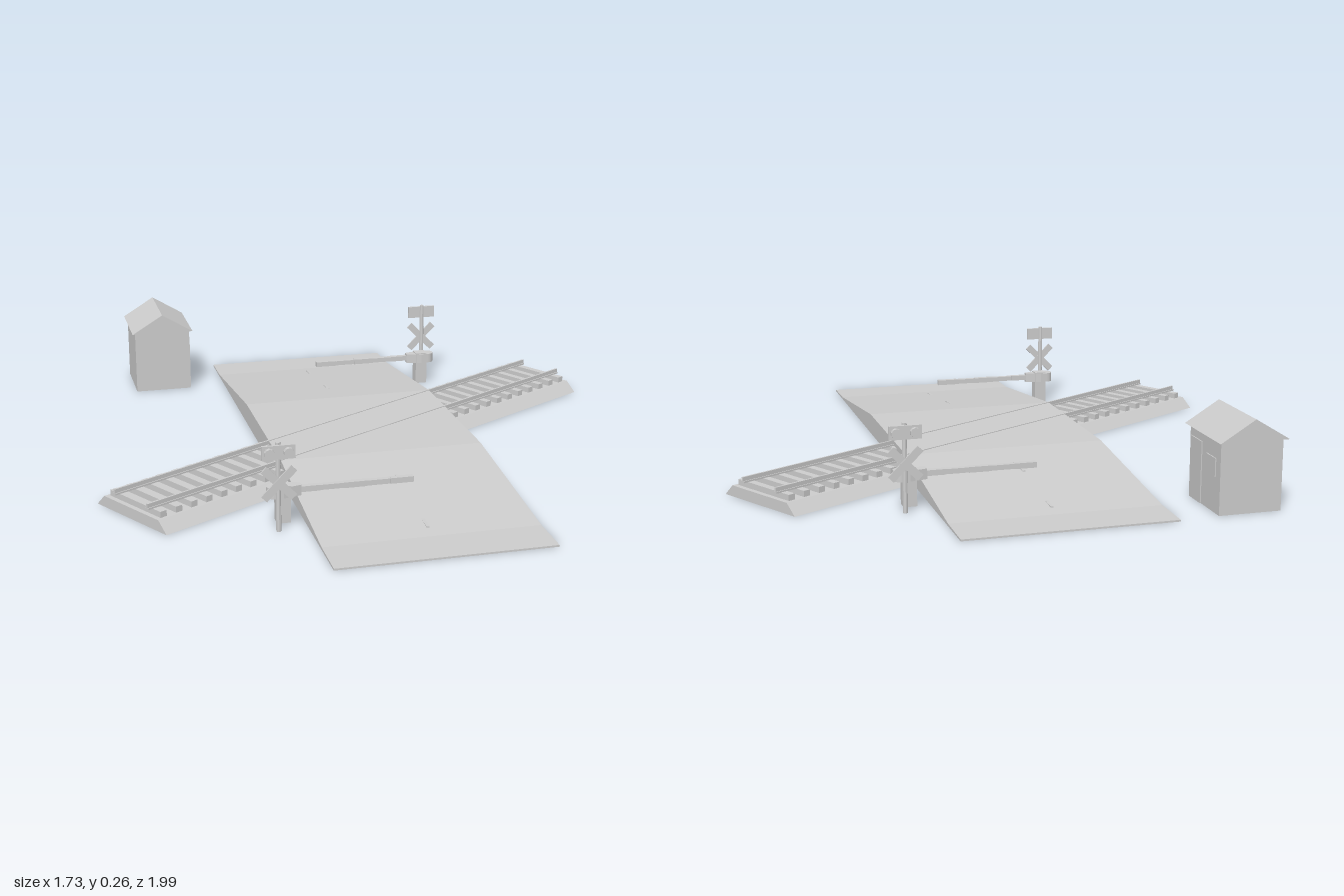
import * as THREE from 'three';

export function createModel() {
  const model = new THREE.Group();
  model.name = 'levelCrossing';
  const grey = new THREE.MeshStandardMaterial({ color: 0xcccccc, flatShading: true });
  grey.name = 'plain grey';

  const add = (parent, name, geometry, x = 0, y = 0, z = 0) => {
    const mesh = new THREE.Mesh(geometry, grey);
    mesh.name = name;
    mesh.position.set(x, y, z);
    parent.add(mesh);
    return mesh;
  };
  const box = (parent, name, w, h, d, x, y, z) =>
    add(parent, name, new THREE.BoxGeometry(w, h, d), x, y, z);
  // Extrude an outline, centred on its depth
  const prism = (points, depth) => {
    const shape = new THREE.Shape(points.map(([x, y]) => new THREE.Vector2(x, y)));
    return new THREE.ExtrudeGeometry(shape, { depth, bevelEnabled: false }).translate(0, 0, -depth / 2);
  };

  // Track: ballast, sleepers and rails run along x
  const track = new THREE.Group();
  track.name = 'track';
  track.position.z = 0.0725;
  model.add(track);
  const ballast = prism([[-0.153, 0], [0.153, 0], [0.12, 0.032], [-0.12, 0.032]], 1.73);
  add(track, 'ballast', ballast.rotateY(Math.PI / 2));
  const sleepers = 33;
  for (let i = 0; i < sleepers; i++) {
    const x = (i - (sleepers - 1) / 2) * 0.0525;
    box(track, 'sleeper', 0.021, 0.018, 0.222, x, 0.04, 0);
  }
  for (const z of [-0.0725, 0.0725]) {
    box(track, 'railFoot', 1.73, 0.005, 0.012, 0, 0.051, z);
    box(track, 'railHead', 1.73, 0.014, 0.006, 0, 0.058, z);
  }

  // Road: humped slab crossing the track at an angle
  const crossing = new THREE.Group();
  crossing.name = 'crossing';
  crossing.position.z = 0.0725;
  crossing.rotation.y = -Math.PI / 6;
  model.add(crossing);
  const road = prism([[-0.887, 0], [0.887, 0], [0.887, 0.005], [0.757, 0.007],
    [0.257, 0.063], [-0.257, 0.063], [-0.757, 0.007], [-0.887, 0.005]], 0.6);
  add(crossing, 'road', road.rotateY(Math.PI / 2));

  // Centre line dashes lying on the ramps
  for (const side of [-1, 1]) {
    for (const s of [0.426, 0.686]) {
      const y = 0.063 - (s - 0.257) * 0.112;
      const dash = box(crossing, 'centreDash', 0.008, 0.003, 0.05, 0, y, side * s);
      dash.rotation.x = side * 0.06;
    }
  }

  // One barrier and warning signal on each side of the track
  for (const turn of [0, Math.PI]) {
    const side = new THREE.Group();
    side.name = 'crossingGuard';
    side.rotation.y = turn;
    crossing.add(side);

    const barrier = new THREE.Group();
    barrier.name = 'barrier';
    barrier.position.set(-0.356, 0, 0.543);
    side.add(barrier);
    box(barrier, 'barrierHousing', 0.038, 0.105, 0.036, 0, 0.0525, 0);
    const weight = new THREE.Shape();
    weight.moveTo(0.05, -0.009);
    weight.lineTo(0.05, 0.009);
    weight.lineTo(0, 0.022);
    weight.absarc(-0.022, 0, 0.022, Math.PI / 2, Math.PI * 1.5, false);
    weight.lineTo(0, -0.022);
    const weightGeo = new THREE.ExtrudeGeometry(weight, { depth: 0.03, bevelEnabled: false, curveSegments: 6 });
    add(barrier, 'armHolder', weightGeo.rotateX(-Math.PI / 2), 0, 0.072, 0);
    // Arm in alternating bands
    for (let i = 0; i < 5; i++) {
      const t = i % 2 ? 0.0145 : 0.016;
      box(barrier, 'armBand', 0.065, t, t, 0.0705 + i * 0.065, 0.088, 0);
    }

    const signal = new THREE.Group();
    signal.name = 'warningSignal';
    signal.position.set(-0.381, 0, 0.61);
    side.add(signal);
    add(signal, 'signalPost', new THREE.CylinderGeometry(0.007, 0.007, 0.25, 8), 0, 0.125, 0);
    for (const tilt of [-1, 1]) {
      const plank = box(signal, 'crossPlank', 0.115, 0.022, 0.005, 0, 0.138, 0.009 + tilt * 0.001);
      plank.rotation.z = tilt * Math.PI / 4;
    }
    box(signal, 'lampBoard', 0.09, 0.038, 0.008, 0, 0.225, 0.008);
    for (const x of [-0.026, 0.026]) {
      const lamp = new THREE.CylinderGeometry(0.014, 0.014, 0.014, 10).rotateX(Math.PI / 2);
      add(signal, 'lamp', lamp, x, 0.225, 0.017);
    }
  }

  // Keeper's hut, turned in line with the road
  const hut = new THREE.Group();
  hut.name = 'hut';
  hut.position.set(-0.055, 0, -0.845);
  hut.rotation.y = -Math.PI / 6;
  model.add(hut);
  box(hut, 'hutWalls', 0.18, 0.205, 0.206, 0, 0.1025, 0);
  add(hut, 'hutRoof', prism([[-0.1, 0.203], [0.1, 0.203], [0, 0.264]], 0.243));
  box(hut, 'hutDoor', 0.006, 0.175, 0.075, 0.09, 0.0875, 0.057);
  box(hut, 'hutWindow', 0.006, 0.052, 0.06, 0.09, 0.126, -0.044);

  return model;
}
